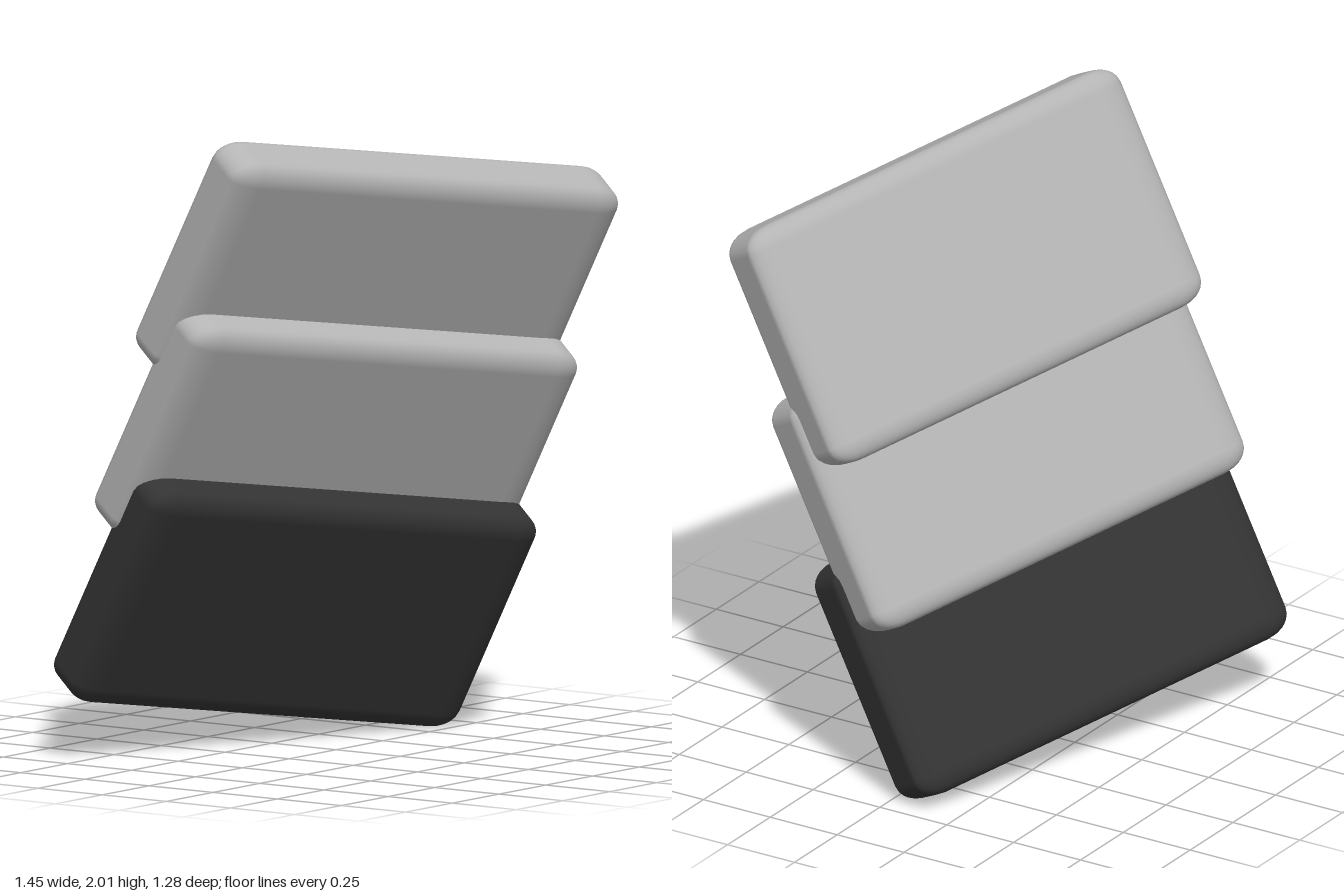
import * as THREE from 'three';
import { RoundedBoxGeometry } from 'three/addons/geometries/RoundedBoxGeometry.js';

export function createModel() {
  const model = new THREE.Group();
  model.name = 'slabStack';
  const lightGrey = new THREE.MeshStandardMaterial({ color: 0xb4b4b4 });
  lightGrey.name = 'lightGrey';
  const charcoal = new THREE.MeshStandardMaterial({ color: 0x333333 });
  charcoal.name = 'charcoal';

  // One soft-edged slab, its rounding widest along the length
  const slab = new RoundedBoxGeometry(14.88, 11.46, 4.04, 3, 1);
  slab.scale(0.1, 0.07, 0.05);

  // Three overlapping tilted slabs, stepping up and forward
  const parts = [['lowerSlab', charcoal], ['middleSlab', lightGrey], ['upperSlab', lightGrey]];
  parts.forEach(([name, material], i) => {
    const mesh = new THREE.Mesh(slab, material);
    mesh.name = name;
    mesh.position.set(0, 0.465 + 0.535 * i, 0.16 * (i - 1));
    mesh.rotation.set(0.513, -0.373, 0.047);
    model.add(mesh);
  });
  return model;
}
